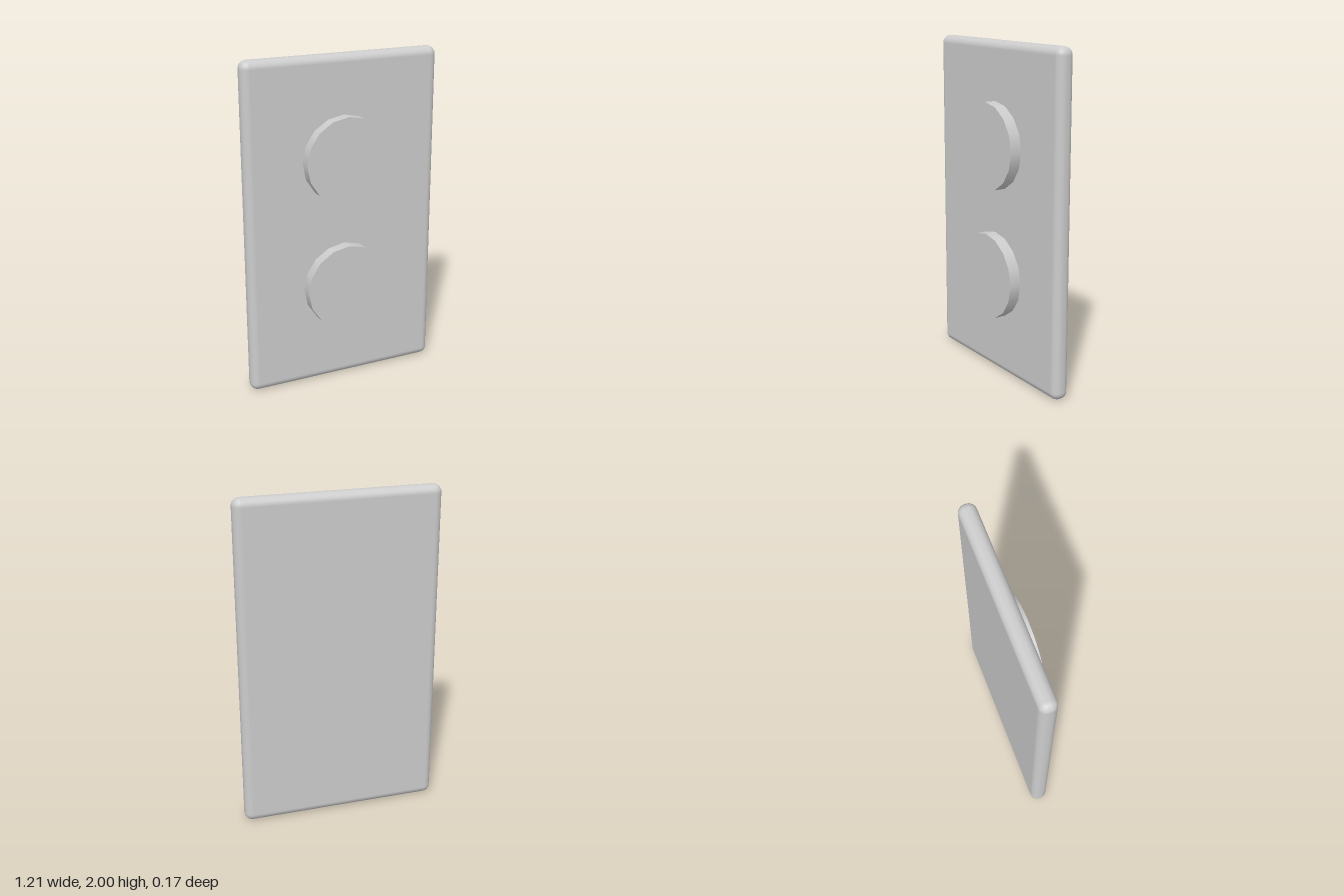
import * as THREE from 'three';
import { RoundedBoxGeometry } from 'three/addons/geometries/RoundedBoxGeometry.js';

export function createModel() {
  const group = new THREE.Group();
  const grey = new THREE.MeshStandardMaterial({ color: 0xcccccc });
  grey.name = 'lightGrey';

  // Upright panel with softly rounded edges
  const plate = new THREE.Mesh(new RoundedBoxGeometry(1.21, 2, 0.104, 5, 0.047), grey);
  plate.name = 'backPlate';
  plate.position.set(0, 1, -0.035);
  group.add(plate);

  // Two round buttons on the front, their backs sunk slightly into the panel
  const buttonGeometry = new THREE.CylinderGeometry(0.26, 0.26, 0.09, 16).rotateX(Math.PI / 2);
  for (const [name, y] of [['upperButton', 1.395], ['lowerButton', 0.613]]) {
    const button = new THREE.Mesh(buttonGeometry, grey);
    button.name = name;
    button.position.set(0, y, 0.042);
    group.add(button);
  }

  return group;
}
